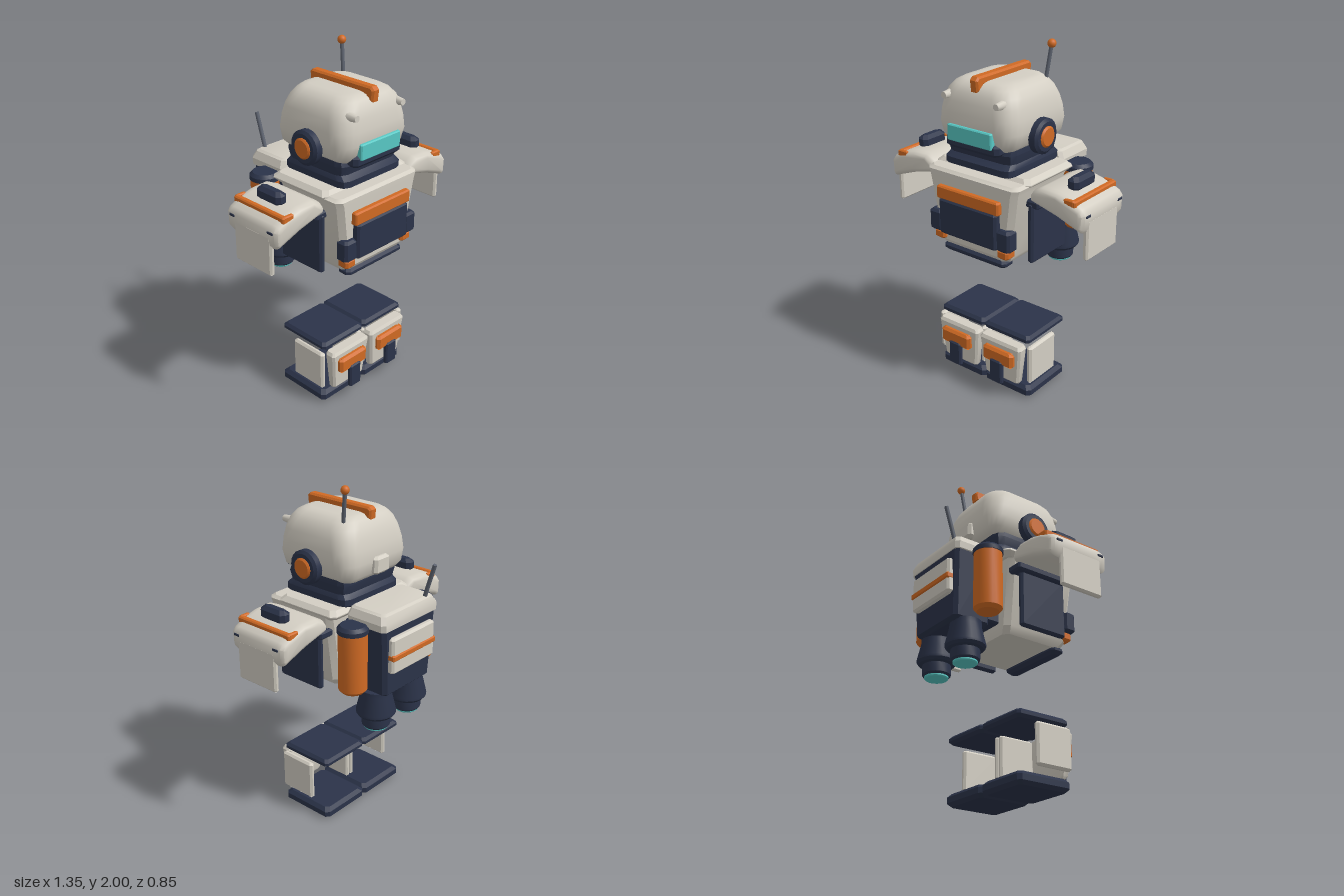
import * as THREE from 'three';
import { toCreasedNormals } from 'three/addons/utils/BufferGeometryUtils.js';

const mat = (name, color) => Object.assign(new THREE.MeshStandardMaterial({ color }), { name });

// Stacked rounded rectangles [y, halfX, zBack, zFront, cornerRadius]; seg = steps per corner
function loft(sections, seg = 1, crease = 0.5) {
  const pos = [], idx = [], n = 4 * (seg + 1);
  for (const [y, hx, z0, z1, r] of sections) {
    const hz = (z1 - z0) / 2, cz = (z0 + z1) / 2;
    for (let q = 0; q < 4; q++) {
      const sx = q === 0 || q === 3 ? 1 : -1, sz = q < 2 ? -1 : 1;
      for (let k = 0; k <= seg; k++) {
        const a = (q + k / seg) * Math.PI / 2;
        pos.push(sx * (hx - r) + r * Math.cos(a), y, cz + sz * (hz - r) - r * Math.sin(a));
      }
    }
  }
  const rows = sections.length, top = (rows - 1) * n;
  for (let j = 0; j < rows - 1; j++) for (let i = 0; i < n; i++) {
    const a = j * n + i, b = j * n + (i + 1) % n;
    idx.push(a, b, b + n, a, b + n, a + n);
  }
  for (let i = 1; i < n - 1; i++) idx.push(0, i + 1, i, top, top + i, top + i + 1);
  const g = new THREE.BufferGeometry();
  g.setAttribute('position', new THREE.Float32BufferAttribute(pos, 3));
  g.setIndex(idx);
  return toCreasedNormals(g, crease);
}

export function createModel() {
  const root = new THREE.Group();
  root.name = 'robot';
  const shell = mat('warm white', 0xd3cec3), navy = mat('navy', 0x2b3349), orange = mat('orange', 0xd06a24),
    cyan = mat('cyan', 0x58c8c4), grey = mat('steel grey', 0x5c626e);

  const add = (name, geo, m, x = 0, y = 0, z = 0) => {
    const mesh = new THREE.Mesh(geo, m);
    mesh.name = name;
    mesh.position.set(x, y, z);
    root.add(mesh);
    return mesh;
  };
  // Chamfered box given by its min/max on each axis; s mirrors it in x
  const box = (name, m, [x0, x1], [y0, y1], [z0, z1], c = 0.01, s = 1) => {
    const hx = (x1 - x0) / 2, hz = (z1 - z0) / 2, hy = (y1 - y0) / 2;
    const end = y => [y, hx - c, c - hz, hz - c, c], mid = y => [y, hx, -hz, hz, c];
    return add(name, loft([end(-hy), mid(c - hy), mid(hy - c), end(hy)]), m,
      s * (x0 + x1) / 2, (y0 + y1) / 2, (z0 + z1) / 2);
  };
  const rod = (name, m, a, b, r) => {
    const p = new THREE.Vector3(...a), d = new THREE.Vector3(...b).sub(p);
    const mesh = add(name, new THREE.CylinderGeometry(r, r, d.length(), 10), m);
    mesh.position.copy(p).addScaledVector(d, 0.5);
    mesh.quaternion.setFromUnitVectors(new THREE.Vector3(0, 1, 0), d.normalize());
    return mesh;
  };
  const lathe = (pts, seg = 20) =>
    toCreasedNormals(new THREE.LatheGeometry(pts.map(p => new THREE.Vector2(...p)), seg), 0.5);

  // Head
  add('helmet', loft([
    [1.48, 0.215, -0.13, 0.32, 0.06], [1.51, 0.245, -0.155, 0.35, 0.08], [1.58, 0.262, -0.167, 0.37, 0.1],
    [1.65, 0.26, -0.16, 0.366, 0.11], [1.71, 0.248, -0.145, 0.355, 0.11], [1.76, 0.23, -0.125, 0.34, 0.11],
    [1.795, 0.2, -0.1, 0.315, 0.1], [1.815, 0.165, -0.075, 0.28, 0.08], [1.82, 0.13, -0.05, 0.25, 0.06],
  ], 5, 0.9), shell);
  add('jaw', loft([
    [1.33, 0.2, -0.1, 0.3, 0.04], [1.35, 0.23, -0.12, 0.34, 0.05], [1.385, 0.23, -0.12, 0.34, 0.05],
    [1.41, 0.22, -0.1, 0.31, 0.05], [1.46, 0.228, -0.11, 0.32, 0.05], [1.52, 0.22, -0.1, 0.3, 0.05],
  ], 2), navy);
  box('visorFrame', navy, [-0.18, 0.18], [1.455, 1.53], [0.28, 0.375], 0.02);
  box('visor', cyan, [-0.15, 0.15], [1.5, 1.59], [0.35, 0.387], 0.006);
  box('headRearBlock', shell, [-0.06, 0.06], [1.5, 1.6], [-0.19, -0.13], 0.015);
  // Crest with downturned ends
  const crestShape = new THREE.Shape([[0.335, 1.775], [0.342, 1.835], [0.325, 1.852], [-0.1, 1.852],
    [-0.117, 1.838], [-0.112, 1.79], [-0.085, 1.79], [-0.075, 1.805], [0.29, 1.805], [0.305, 1.775]]
    .map(p => new THREE.Vector2(...p)));
  const crest = new THREE.ExtrudeGeometry(crestShape,
    { depth: 0.034, bevelSize: 0.01, bevelThickness: 0.01, bevelOffset: -0.008, bevelSegments: 1 });
  crest.translate(0, 0, -0.017).rotateY(-Math.PI / 2);
  add('headCrest', crest, orange);
  rod('headAntenna', grey, [0.168, 1.78, -0.053], [0.184, 1.98, -0.082], 0.011);
  add('antennaBall', new THREE.SphereGeometry(0.024, 16, 12), orange, 0.184, 1.976, -0.082);

  // Torso
  add('torso', loft([
    [0.86, 0.215, -0.05, 0.345, 0.03], [0.9, 0.245, -0.065, 0.37, 0.03], [1.28, 0.305, -0.075, 0.388, 0.03],
    [1.31, 0.315, -0.08, 0.388, 0.03], [1.325, 0.295, -0.07, 0.37, 0.03],
  ]), shell);
  box('collar', shell, [-0.325, 0.325], [1.29, 1.345], [-0.12, 0.3], 0.025);
  box('torsoBase', navy, [-0.22, 0.22], [0.83, 0.88], [0.28, 0.37], 0.018);
  box('backSpacer', navy, [-0.18, 0.18], [0.92, 1.26], [-0.16, -0.06]);
  box('chestBar', orange, [-0.215, 0.215], [1.16, 1.235], [0.37, 0.417], 0.008);
  box('chestPouch', navy, [-0.2, 0.2], [0.955, 1.165], [0.35, 0.42], 0.012);

  // Backpack
  add('packBody', loft([
    [0.875, 0.175, -0.35, -0.16, 0.02], [0.895, 0.195, -0.372, -0.14, 0.02], [1.29, 0.222, -0.385, -0.13, 0.02],
  ]), navy);
  add('packLid', loft([
    [1.28, 0.232, -0.39, -0.125, 0.02], [1.32, 0.235, -0.392, -0.125, 0.02],
    [1.36, 0.215, -0.375, -0.135, 0.02], [1.37, 0.2, -0.36, -0.145, 0.02],
  ]), shell);
  box('packPlate', shell, [-0.18, 0.18], [1.025, 1.235], [-0.412, -0.365], 0.012);
  box('packStripe', orange, [-0.182, 0.182], [1.105, 1.14], [-0.419, -0.37], 0.006);
  rod('packAntenna', grey, [-0.155, 1.35, -0.35], [-0.155, 1.56, -0.415], 0.012);

  // Shoulder outline seen from the front
  const armProfile = [[0.33, 1.24], [0.5, 1.195], [0.61, 1.155], [0.65, 1.14], [0.668, 1.165], [0.672, 1.245],
    [0.65, 1.275], [0.58, 1.308], [0.5, 1.328], [0.4, 1.332], [0.345, 1.305], [0.325, 1.275]];

  for (const s of [1, -1]) {
    const put = (n, m, x, y, z, c) => box(n, m, x, y, z, c, s);
    // Ears and brow studs
    const ear = lathe([[0, 0], [0.085, 0], [0.097, 0.012], [0.097, 0.05], [0.08, 0.062], [0, 0.062]]);
    add('earDisc', ear, navy, s * 0.245, 1.54, 0.115).rotation.z = -s * Math.PI / 2;
    const cap = lathe([[0, 0], [0.058, 0], [0.058, 0.022], [0.048, 0.03], [0, 0.03]]);
    add('earCap', cap, orange, s * 0.288, 1.54, 0.115).rotation.z = -s * Math.PI / 2;
    const stud = add('browStud', new THREE.CylinderGeometry(0.018, 0.03, 0.09, 10), shell, s * 0.175, 1.735, 0.33);
    stud.rotation.x = Math.PI / 2;

    // Shoulder and arm
    const shape = new THREE.Shape(armProfile.map(([x, y]) => new THREE.Vector2(s * x, y)));
    const arm = new THREE.ExtrudeGeometry(shape, {
      depth: 0.295, bevelSize: 0.03, bevelThickness: 0.05, bevelOffset: -0.03, bevelSegments: 3 });
    add('shoulder', toCreasedNormals(arm, 0.7), shell, 0, 0, -0.04);
    put('shoulderStripe', orange, [0.585, 0.618], [1.275, 1.313], [-0.083, 0.3], 0.007);
    for (const z of [-0.072, 0.289]) put('stripeTab', orange, [0.545, 0.61], [1.28, 1.315], [z - 0.012, z + 0.012], 0.006);
    put('shoulderGrip', navy, [0.488, 0.56], [1.31, 1.387], [0.02, 0.2], 0.02);
    put('forearmPlate', shell, [0.638, 0.67], [0.98, 1.21], [-0.025, 0.255], 0.01);
    for (const z of [-0.035, 0.255]) put('armSlot', navy, [0.655, 0.675], [1.228, 1.243], [z - 0.02, z + 0.02], 0.003);
    put('shoulderJoint', navy, [0.27, 0.37], [1.19, 1.235], [-0.07, 0.275]);
    put('hipPanel', navy, [0.302, 0.34], [0.87, 1.22], [-0.03, 0.28], 0.012);

    // Chest side pouches
    put('sidePouch', navy, [0.19, 0.282], [0.955, 1.08], [0.33, 0.41], 0.014);
    put('pouchFoot', orange, [0.185, 0.26], [0.905, 0.96], [0.32, 0.395], 0.012);

    // Fuel tanks and thrusters
    add('tank', lathe([[0, 0.91], [0.062, 0.91], [0.08, 0.93], [0.08, 1.27], [0, 1.27]]), orange, s * 0.282, 0, -0.218);
    add('tankCap', lathe([[0, 1.26], [0.085, 1.26], [0.085, 1.285], [0.068, 1.303], [0, 1.303]]), navy, s * 0.282, 0, -0.218);
    add('thruster', lathe([[0, 0.66], [0.072, 0.66], [0.08, 0.67], [0.08, 0.725], [0.1, 0.73], [0.112, 0.745],
      [0.112, 0.76], [0.088, 0.86], [0.088, 0.89], [0, 0.89]]), navy, s * 0.138, 0, -0.262);
    add('thrusterGlow', lathe([[0, 0.646], [0.062, 0.646], [0.068, 0.652], [0.068, 0.665], [0, 0.665]]), cyan, s * 0.138, 0, -0.262);

    // Floating base
    put('baseTopPlate', navy, [0, 0.325], [0.355, 0.403], [-0.055, 0.288], 0.016);
    put('baseBottomPlate', navy, [0, 0.33], [0, 0.072], [-0.06, 0.288], 0.02);
    add('basePouch', loft([
      [0.09, 0.11, 0.275, 0.31, 0.01], [0.105, 0.12, 0.27, 0.322, 0.012],
      [0.33, 0.147, 0.27, 0.34, 0.012], [0.348, 0.135, 0.275, 0.33, 0.01],
    ]), shell, s * 0.155);
    put('baseSidePlate', shell, [0.308, 0.343], [0.11, 0.347], [0.055, 0.29], 0.012);
    put('baseInnerPlate', shell, [0.003, 0.033], [0.11, 0.347], [0.055, 0.28], 0.01);
    put('pouchFlap', orange, [0.05, 0.265], [0.21, 0.305], [0.325, 0.368], 0.015);
    put('pouchStrap', navy, [0.112, 0.197], [0.09, 0.238], [0.345, 0.377], 0.008);
  }
  return root;
}
